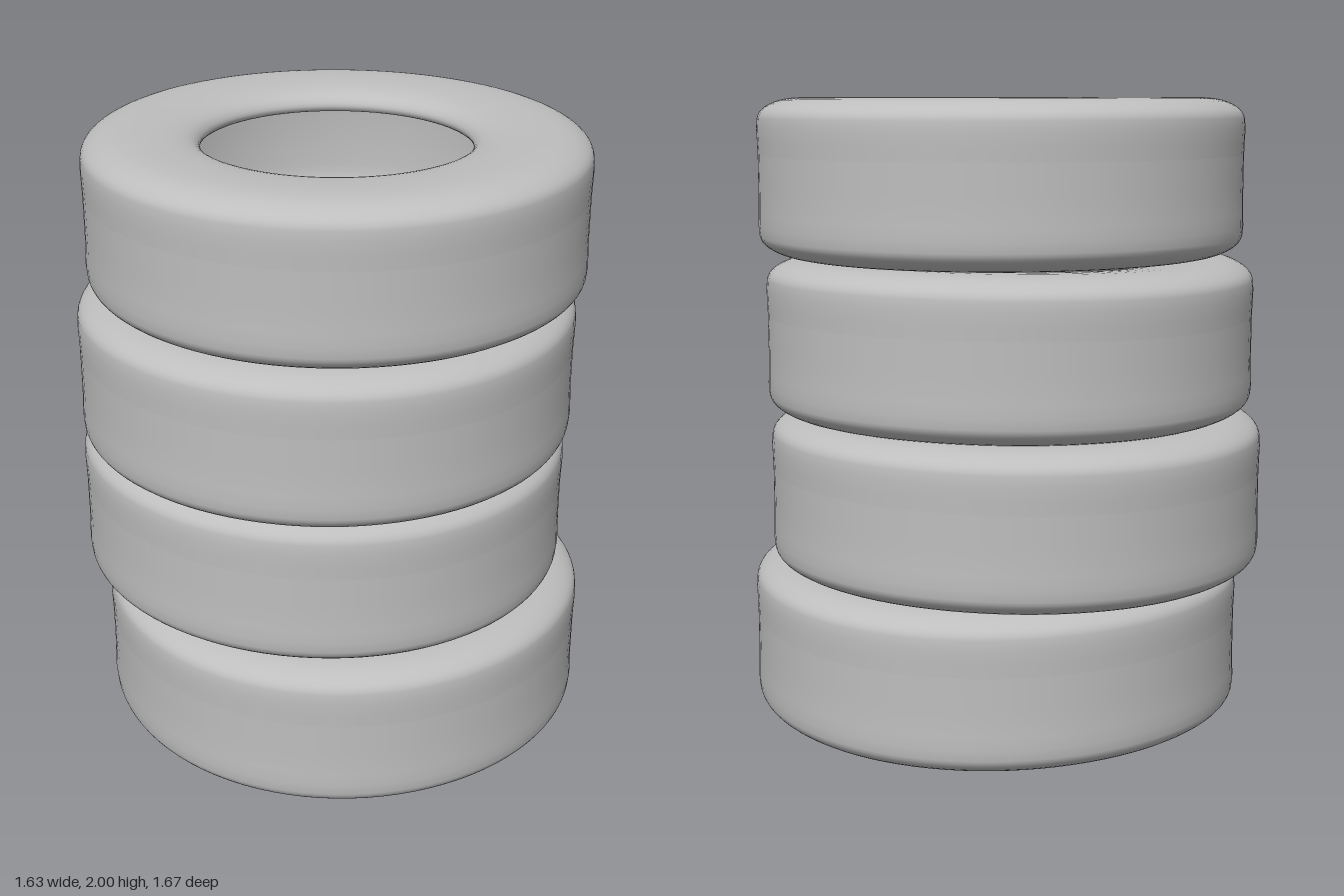
import * as THREE from 'three';

// Hollow tyre cross-section (radius, height): upper half, mirrored for the lower half
function tyreProfile(outer) {
  const upper = [
    [outer, 0.07], [outer, 0.185], [outer - 0.015, 0.212], [outer - 0.055, 0.236],
    [outer - 0.11, 0.248], [0.58, 0.249], [0.49, 0.24], [0.44, 0.222],
    [0.42, 0.195], [0.43, 0.175], [0.47, 0.18], [0.57, 0.196],
    [0.65, 0.185], [0.69, 0.14], [0.7, 0.06],
  ];
  const lower = upper.map(([r, y]) => [r, -y]).reverse();
  const points = [...upper, ...lower].map(([r, y]) => new THREE.Vector3(r, y, 0));
  return new THREE.CatmullRomCurve3(points, true)
    .getPoints(90).map((p) => new THREE.Vector2(p.x, p.y));
}

// One tyre, slightly oval and with a gentle sag around its sidewalls
function makeTyre({ y, x, z, rx, rz, sag }, material) {
  const outer = 0.785;
  const geometry = new THREE.LatheGeometry(tyreProfile(outer), 96);
  const pos = geometry.attributes.position;
  for (let i = 0; i < pos.count; i++) {
    const px = pos.getX(i), pz = pos.getZ(i);
    const wave = Math.cos(2 * Math.atan2(px, pz));
    const stretch = Math.hypot(px, pz) / outer;
    pos.setXYZ(i, px * rx / outer, pos.getY(i) + sag * wave * stretch, pz * rz / outer);
  }
  const tyre = new THREE.Mesh(geometry, material);
  tyre.position.set(x, y, z);
  return tyre;
}

export function createModel() {
  const rubber = new THREE.MeshStandardMaterial({ color: 0xbebebe });
  rubber.name = 'grey rubber';

  // Loosely stacked tyres, from the ground up
  const stack = [
    { y: 0.26, x: 0.022, z: 0.037, rx: 0.778, rz: 0.797, sag: 0.01 },
    { y: 0.752, x: 0.022, z: -0.042, rx: 0.787, rz: 0.793, sag: -0.006 },
    { y: 1.244, x: -0.018, z: 0.002, rx: 0.797, rz: 0.782, sag: -0.006 },
    { y: 1.75, x: -0.013, z: 0.035, rx: 0.777, rz: 0.78, sag: 0.001 },
  ];
  const model = new THREE.Group();
  model.name = 'tyreStack';
  stack.forEach((spec, i) => {
    const tyre = makeTyre(spec, rubber);
    tyre.name = `tyre${i + 1}`;
    model.add(tyre);
  });
  return model;
}
